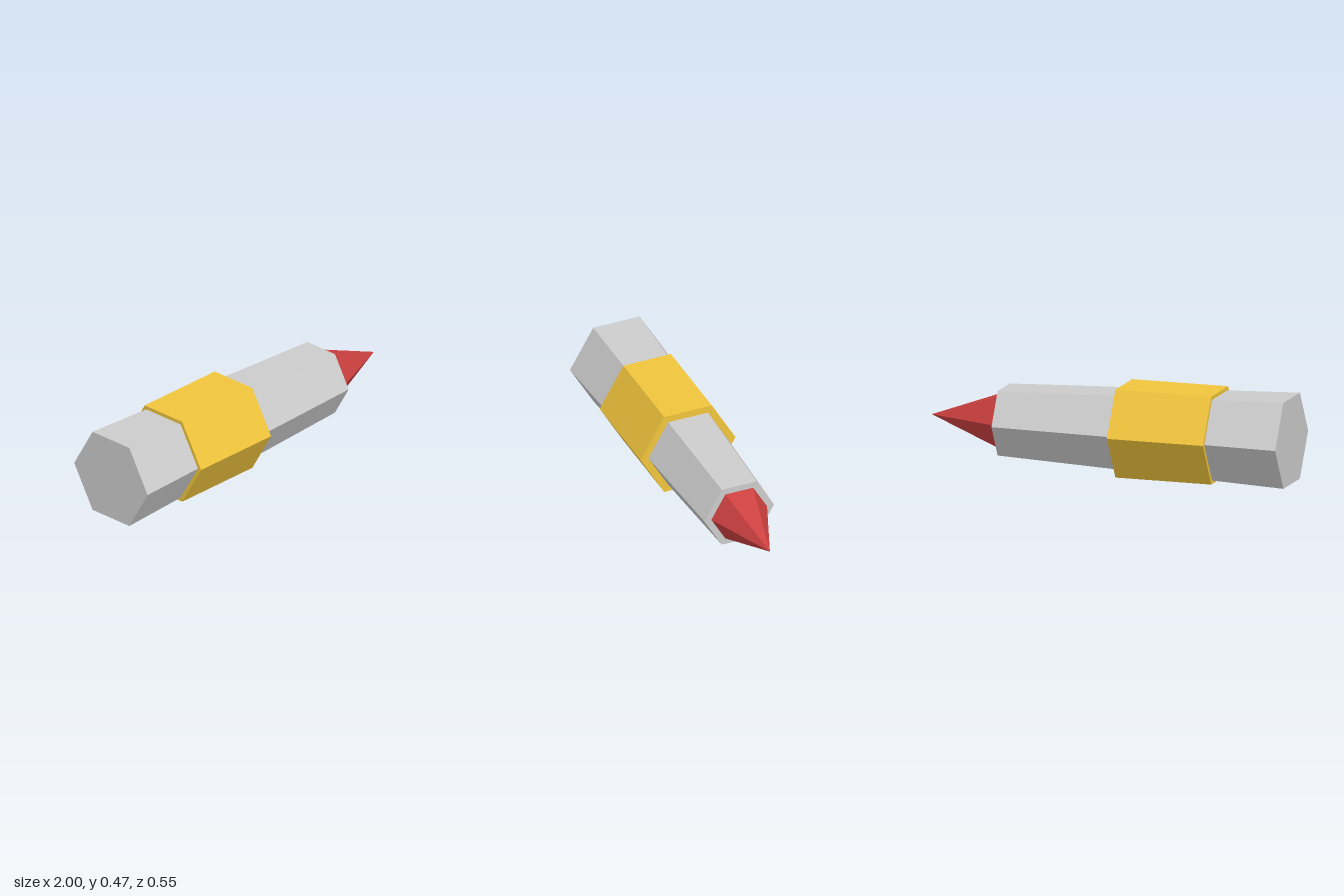
import * as THREE from 'three';

const AXIS_Y = 0.2365; // height of the long axis

// Six-sided tapered section lying along x, from x0 (radius r0) to x1 (radius r1)
function hexSection(name, x0, x1, r0, r1, color) {
  const geometry = r1 > 0
    ? new THREE.CylinderGeometry(r1, r0, x1 - x0, 6)
    : new THREE.ConeGeometry(r0, x1 - x0, 6);
  geometry.rotateZ(-Math.PI / 2);
  const material = new THREE.MeshStandardMaterial({ color, flatShading: true });
  const mesh = new THREE.Mesh(geometry, material);
  mesh.name = name;
  mesh.position.set((x0 + x1) / 2, AXIS_Y, 0);
  return mesh;
}

export function createModel() {
  const group = new THREE.Group();
  group.name = 'hexagonalDart';
  group.add(
    // Long shaft, narrowing toward the tip
    hexSection('body', -1, 0.6, 0.267, 0.2, 0xcccccc),
    // Straight collar around the shaft
    hexSection('sleeve', -0.6, -0.067, 0.273, 0.273, 0xf0c43c),
    // Pointed nose
    hexSection('tip', 0.6, 1, 0.16, 0, 0xcc4040),
  );
  return group;
}
